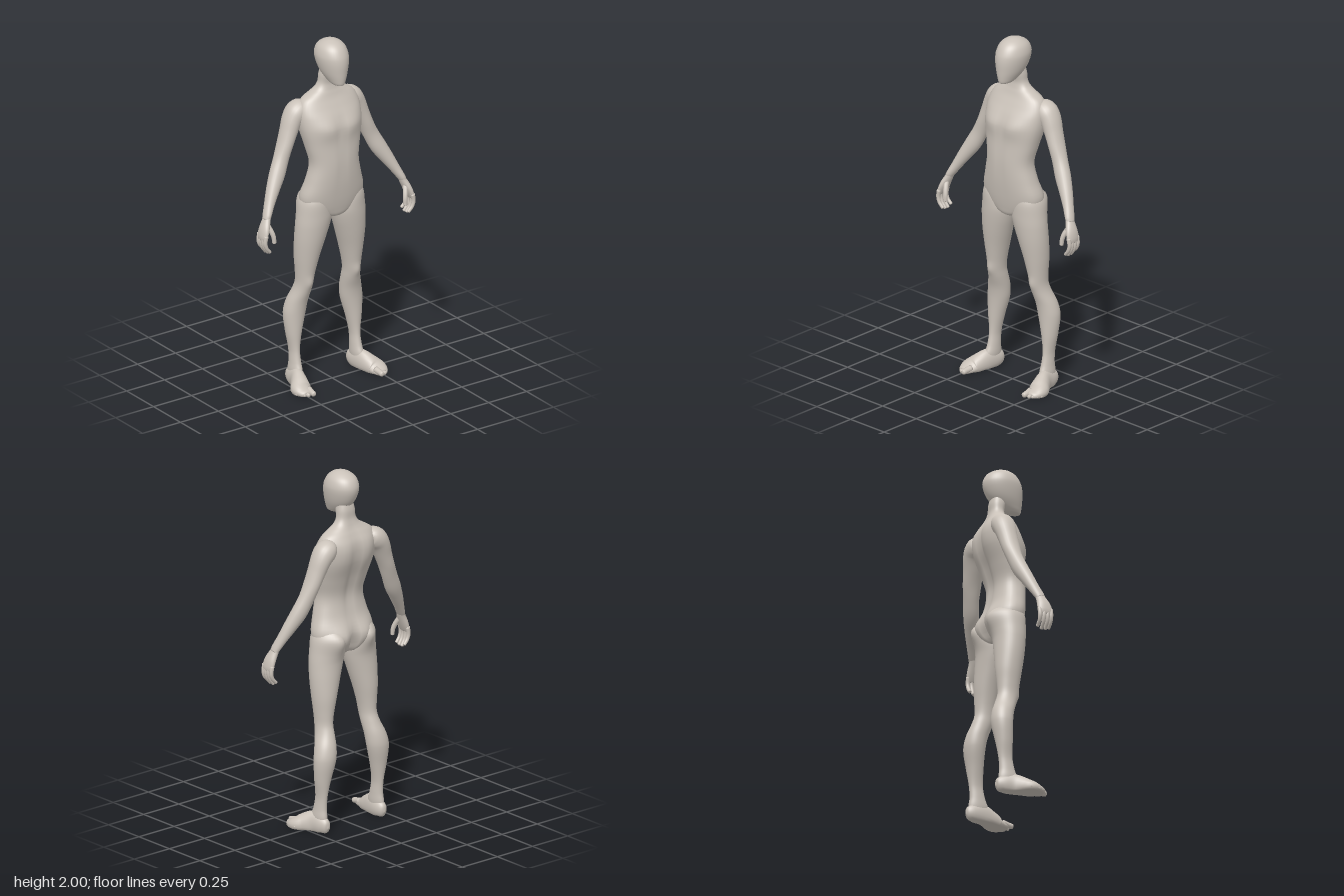
import * as THREE from 'three';

const SEG = 40;

// Smoothly fill in rows of numbers between the given ones (chord-length Hermite)
function smooth(rows, steps = 5) {
  const t = [0];
  for (let i = 1; i < rows.length; i++) {
    t.push(t[i - 1] + Math.hypot(...rows[i].map((v, c) => v - rows[i - 1][c])));
  }
  const slope = (i, c) => {
    const a = Math.max(i - 1, 0), b = Math.min(i + 1, rows.length - 1);
    return (rows[b][c] - rows[a][c]) / (t[b] - t[a]);
  };
  const out = [];
  for (let i = 0; i < rows.length - 1; i++) {
    const h = t[i + 1] - t[i];
    for (let k = 0; k < steps; k++) {
      const s = k / steps, s2 = s * s, s3 = s2 * s;
      out.push(rows[i].map((p, c) =>
        p * (2 * s3 - 3 * s2 + 1) + rows[i + 1][c] * (3 * s2 - 2 * s3)
        + h * (slope(i, c) * (s3 - 2 * s2 + s) + slope(i + 1, c) * (s3 - s2))));
    }
  }
  out.push(rows[rows.length - 1]);
  return out;
}

// Skin a list of rings, closing both ends
function skin(rings) {
  const n = rings[0].length, pos = [], idx = [];
  rings.forEach(r => r.forEach(p => pos.push(p.x, p.y, p.z)));
  for (let i = 0; i < rings.length - 1; i++) {
    for (let j = 0; j < n; j++) {
      const a = i * n + j, b = i * n + (j + 1) % n;
      idx.push(a, a + n, b, b, a + n, b + n);
    }
  }
  [rings[0], rings[rings.length - 1]].forEach((ring, end) => {
    const c = ring.reduce((s, p) => s.add(p), new THREE.Vector3()).divideScalar(n);
    const base = end ? (rings.length - 1) * n : 0, mid = pos.length / 3;
    pos.push(c.x, c.y, c.z);
    for (let j = 0; j < n; j++) {
      const a = base + j, b = base + (j + 1) % n;
      if (end) idx.push(mid, b, a); else idx.push(mid, a, b);
    }
  });
  const g = new THREE.BufferGeometry();
  g.setAttribute('position', new THREE.Float32BufferAttribute(pos, 3));
  g.setIndex(idx);
  g.computeVertexNormals();
  return g;
}

// Muscle relief: [x, y, spread x, spread y, height, side (+1 front, -1 back)]
const RELIEF = [
  [0.085, 1.515, 0.075, 0.055, 0.018, 1],   // chest
  [0, 1.5, 0.016, 0.08, -0.006, 1],         // breastbone
  [0, 1.3, 0.014, 0.14, -0.005, 1],         // belly line
  [0.09, 1.57, 0.06, 0.1, 0.016, -1],       // shoulder blades
  [0, 1.4, 0.026, 0.22, -0.018, -1],        // spine
  [0.09, 1.07, 0.075, 0.075, 0.036, -1],    // buttocks
  [0, 1.03, 0.018, 0.08, -0.03, -1],        // cleft
  [0.155, 0.6, 0.032, 0.035, 0.009, 1],     // kneecap
];
function relief(p, s) {
  for (const [x, y, sx, sy, h, side] of RELIEF) {
    if (s * side <= 0) continue;
    const d = ((Math.abs(p.x) - x) / sx) ** 2 + ((p.y - y) / sy) ** 2;
    p.z += side * h * s * s * Math.exp(-d);
  }
  return p;
}

// Level sections: [y, x min, x max, z back, z front], squareness n
function stack(rows, n = 2) {
  const pw = v => Math.sign(v) * Math.abs(v) ** (2 / n);
  return skin(smooth(rows).map(([y, x0, x1, z0, z1]) =>
    Array.from({ length: SEG }, (_, j) => {
      const a = j / SEG * Math.PI * 2, s = Math.sin(a);
      return relief(new THREE.Vector3(
        (x0 + x1) / 2 + pw(Math.cos(a)) * (x1 - x0) / 2, y,
        (z0 + z1) / 2 + pw(s) * (z1 - z0) / 2), s);
    })));
}
const centred = rows => rows.map(([y, w, z0, z1]) => [y, -w, w, z0, z1]);

// Oval sections square to a path: [x, y, z, radius across, radius toward ref]
function sweep(rows, ref = new THREE.Vector3(0, 0, 1), seg = 24) {
  const path = smooth(rows), at = i => new THREE.Vector3(...path[i].slice(0, 3));
  return skin(path.map(([, , , ru, rv], i) => {
    const t = at(Math.min(i + 1, path.length - 1)).sub(at(Math.max(i - 1, 0))).normalize();
    const u = t.clone().cross(ref).normalize(), v = u.clone().cross(t);
    return Array.from({ length: seg }, (_, j) => {
      const a = j / seg * Math.PI * 2;
      const p = at(i).addScaledVector(u, ru * Math.cos(a)).addScaledVector(v, rv * Math.sin(a));
      p.y = Math.max(p.y, 0);   // soles lie flat on the ground
      return p;
    });
  }));
}

// Small round-ended digit through three or more points
function digit(points, r, ref) {
  const rows = points.map((p, i) => [...p, r * (1 - 0.08 * i), r * (1 - 0.08 * i)]);
  const a = new THREE.Vector3(...points[points.length - 2]);
  const b = new THREE.Vector3(...points[points.length - 1]);
  const d = b.clone().sub(a).normalize();
  for (const [along, k] of [[0.5, 0.7], [0.75, 0.1]]) {
    const q = b.clone().addScaledVector(d, r * along);
    rows.push([q.x, q.y, q.z, r * k, r * k]);
  }
  return sweep(rows, ref, 12);
}

function mirrored(geo) {
  const g = geo.clone().scale(-1, 1, 1), ix = g.index.array;
  for (let i = 0; i < ix.length; i += 3) [ix[i], ix[i + 1]] = [ix[i + 1], ix[i]];
  g.computeVertexNormals();
  return g;
}

export function createModel() {
  const model = new THREE.Group();
  model.name = 'mannequin';
  const clay = new THREE.MeshStandardMaterial({ color: 0xcac2b9 });
  clay.name = 'warm grey clay';
  const add = (name, geo) => {
    const m = new THREE.Mesh(geo, clay);
    m.name = name;
    model.add(m);
  };
  const pair = (name, geo) => {
    add('left' + name, geo);
    add('right' + name, mirrored(geo));
  };

  // Head: smooth egg with a flat jaw
  add('head', stack(centred([
    [1.754, 0.014, 0.02, 0.085], [1.761, 0.032, 0, 0.097], [1.79, 0.051, -0.05, 0.103],
    [1.83, 0.069, -0.088, 0.106], [1.88, 0.082, -0.112, 0.107], [1.92, 0.085, -0.117, 0.1],
    [1.96, 0.073, -0.1, 0.079], [1.985, 0.049, -0.067, 0.05], [1.997, 0.022, -0.033, 0.018],
    [2, 0.003, -0.01, -0.004],
  ])));

  // Torso from crotch to neck
  add('torso', stack(centred([
    [0.97, 0.03, -0.05, 0.03], [0.985, 0.075, -0.08, 0.06], [1.03, 0.165, -0.1, 0.075],
    [1.1, 0.195, -0.108, 0.088], [1.2, 0.168, -0.085, 0.1], [1.3, 0.147, -0.075, 0.104],
    [1.4, 0.165, -0.1, 0.098], [1.5, 0.187, -0.132, 0.09], [1.57, 0.192, -0.14, 0.068],
    [1.62, 0.185, -0.135, 0.042], [1.66, 0.162, -0.118, 0.02], [1.69, 0.115, -0.102, 0.008],
    [1.715, 0.076, -0.092, 0], [1.745, 0.058, -0.084, -0.004], [1.79, 0.054, -0.082, 0.005],
    [1.84, 0.045, -0.07, 0.01],
  ]), 2.3));

  // Legs from hip to ankle
  pair('Leg', stack([
    [1.14, 0.07, 0.165, -0.06, 0.05], [1.08, 0.03, 0.198, -0.105, 0.072],
    [1, 0.008, 0.21, -0.105, 0.074], [0.94, 0.018, 0.216, -0.103, 0.07],
    [0.85, 0.046, 0.218, -0.105, 0.058], [0.75, 0.077, 0.213, -0.106, 0.04],
    [0.66, 0.1, 0.204, -0.1, 0.024], [0.6, 0.11, 0.201, -0.1, 0.014],
    [0.55, 0.112, 0.21, -0.115, 0.002], [0.48, 0.116, 0.236, -0.14, -0.02],
    [0.41, 0.124, 0.25, -0.148, -0.03], [0.3, 0.152, 0.242, -0.13, -0.034],
    [0.2, 0.172, 0.226, -0.114, -0.034], [0.13, 0.172, 0.228, -0.11, -0.02],
    [0.08, 0.172, 0.232, -0.116, -0.002], [0.03, 0.18, 0.225, -0.11, -0.01],
  ].reverse()));

  // Feet, heel to ball, then toes
  const up = new THREE.Vector3(0, 1, 0);
  pair('Foot', sweep([
    [0.2, 0.03, -0.133, 0.004, 0.005], [0.2, 0.032, -0.122, 0.022, 0.034],
    [0.202, 0.038, -0.09, 0.034, 0.052], [0.21, 0.04, -0.03, 0.039, 0.066],
    [0.229, 0.03, 0.02, 0.049, 0.057], [0.247, 0.02, 0.06, 0.056, 0.043],
    [0.246, 0.015, 0.095, 0.047, 0.027], [0.24, 0.012, 0.12, 0.032, 0.018],
    [0.24, 0.01, 0.13, 0.01, 0.006],
  ], up));
  [[0.225, 0.143, 0.018], [0.251, 0.135, 0.012], [0.267, 0.122, 0.011],
    [0.281, 0.104, 0.011], [0.292, 0.083, 0.01]].forEach(([x, z, r], i) => {
    pair('Toe' + (i + 1), digit([[x - 0.004, r + 0.008, z - 0.05], [x, r + 0.003, z - 0.02], [x, r, z]], r, up));
  });

  // Arms from shoulder to wrist
  pair('Arm', sweep([
    [0.12, 1.62, -0.075, 0.02, 0.03], [0.15, 1.612, -0.078, 0.05, 0.058],
    [0.18, 1.59, -0.08, 0.06, 0.065], [0.207, 1.555, -0.08, 0.054, 0.062],
    [0.235, 1.49, -0.075, 0.047, 0.055], [0.264, 1.42, -0.069, 0.042, 0.051],
    [0.296, 1.345, -0.06, 0.043, 0.043], [0.333, 1.27, -0.044, 0.045, 0.042],
    [0.375, 1.2, -0.023, 0.037, 0.037], [0.415, 1.13, 0, 0.027, 0.031],
    [0.442, 1.08, 0.018, 0.021, 0.029], [0.452, 1.06, 0.023, 0.018, 0.026],
  ]));

  // Hands: palm, curled fingers and thumb
  pair('Palm', sweep([
    [0.438, 1.085, 0.017, 0.017, 0.025], [0.452, 1.055, 0.024, 0.02, 0.029],
    [0.47, 1.015, 0.032, 0.021, 0.039], [0.482, 0.98, 0.036, 0.017, 0.042],
    [0.487, 0.958, 0.037, 0.011, 0.037], [0.488, 0.95, 0.037, 0.003, 0.02],
  ]));
  [[0.004, 0.012], [0.026, 0], [0.048, 0.001], [0.068, 0.008]].forEach(([z, lift], i) => {
    pair('Finger' + (i + 1), digit([
      [0.482, 0.985, z], [0.488, 0.945, z], [0.48, 0.91 + lift / 2, z], [0.46, 0.881 + lift, z - 0.002],
    ], 0.0125));
  });
  pair('Thumb', digit([
    [0.457, 1.04, 0.035], [0.442, 1, 0.058], [0.434, 0.97, 0.068], [0.432, 0.942, 0.071],
  ], 0.015));

  return model;
}
